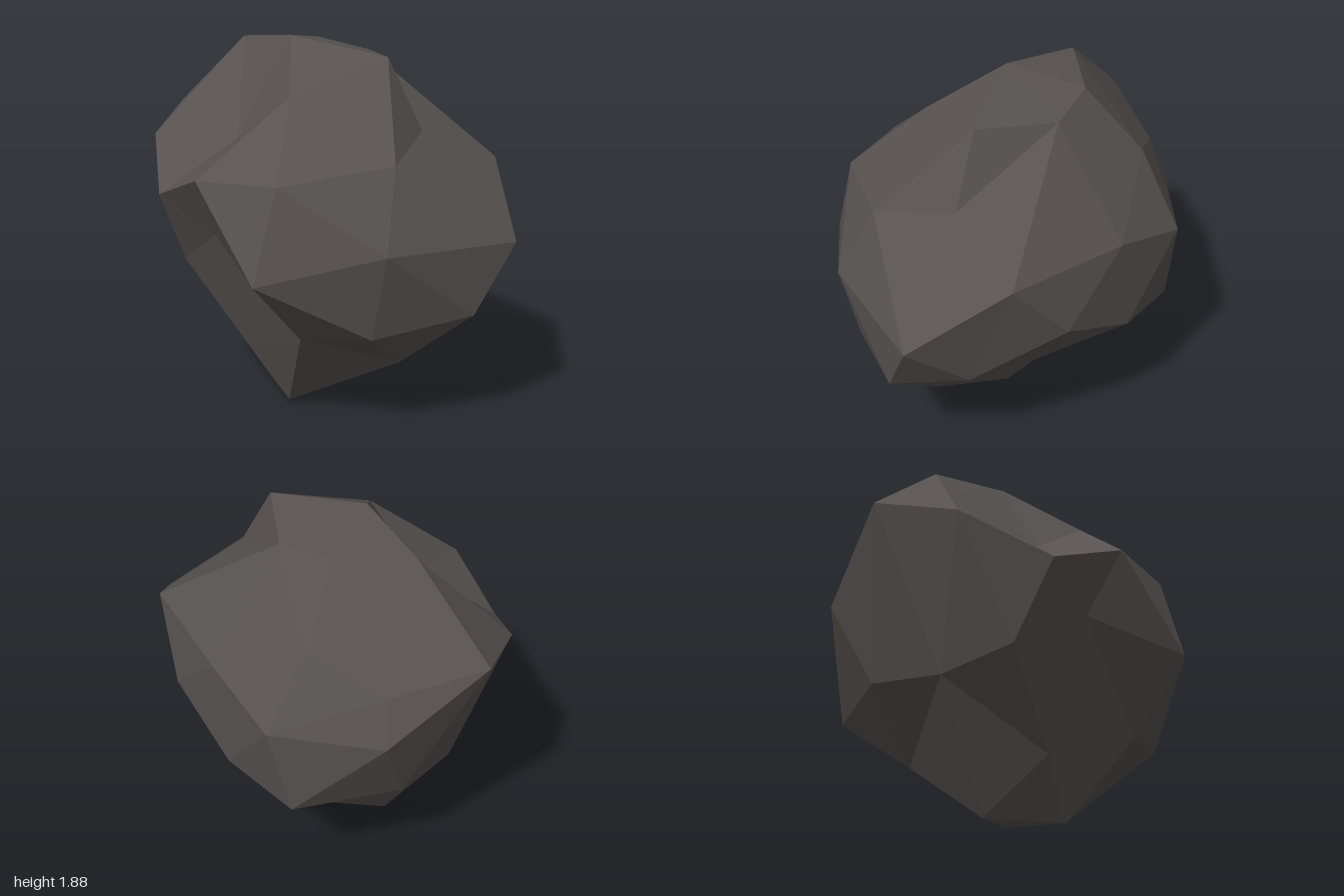
import * as THREE from 'three';
import { ConvexGeometry } from 'three/addons/geometries/ConvexGeometry.js';

const CENTRE = new THREE.Vector3(0, 0.94, 0);

// Corner points of the boulder, in bands from the crown to the foot.
const crown = [
  [-0.22, 1.88, 0.01], [0.30, 1.80, 0.04], [-0.57, 1.82, -0.25],
  [0.09, 1.77, -0.32], [-0.20, 1.81, -0.39], [-0.09, 1.65, 0.39],
];
const shoulder = [
  [0.49, 1.45, 0.08], [0.47, 1.37, 0.50], [-0.02, 1.30, 0.79], [-0.47, 1.27, 0.69],
  [-0.42, 1.39, 0.25], [-0.98, 1.32, 0.02], [-1.00, 1.42, -0.40], [-0.61, 1.32, -0.67],
  [-0.21, 1.49, -0.69], [0.28, 1.25, -0.69], [0.79, 1.26, -0.27],
];
const waist = [
  [1.00, 0.96, 0.20], [0.49, 0.98, 0.70], [-0.10, 0.84, 0.91], [-0.45, 0.95, 0.50],
  [-0.78, 1.11, 0.43], [-0.64, 1.09, -0.76], [-0.10, 1.12, -0.91], [0.59, 0.92, -0.50],
];
const flank = [
  [0.83, 0.61, 0.34], [0.40, 0.54, 0.64], [0.03, 0.49, 0.61], [-0.74, 0.71, 0.22],
  [-0.75, 0.59, -0.13], [-0.64, 0.64, -0.52], [-0.20, 0.64, -0.86], [0.20, 0.71, -0.73],
  [0.76, 0.66, -0.05],
];
const foot = [
  [0.43, 0.27, 0.22], [0.28, 0.44, -0.27], [-0.21, 0.36, -0.48], [0.10, 0.11, -0.08],
  [-0.37, 0.29, 0.28], [-0.14, 0.02, 0.30], [-0.38, 0.00, -0.04],
];

// Facet the points on a unit sphere, then push each corner out to its real place,
// so that dents stay concave.
function facetedRock(points) {
  const directions = points.map((p) => p.clone().sub(CENTRE).normalize());
  const geometry = new ConvexGeometry(directions);
  const position = geometry.attributes.position;
  const corner = new THREE.Vector3();
  for (let i = 0; i < position.count; i++) {
    corner.fromBufferAttribute(position, i);
    let nearest = 0;
    directions.forEach((d, k) => {
      if (d.distanceToSquared(corner) < directions[nearest].distanceToSquared(corner)) nearest = k;
    });
    position.setXYZ(i, ...points[nearest].toArray());
  }
  geometry.computeVertexNormals(); // unshared corners give flat facets
  return geometry;
}

export function createModel() {
  const group = new THREE.Group();
  group.name = 'rock';

  const stone = new THREE.MeshStandardMaterial({ color: 0x575250, flatShading: true });
  stone.name = 'dark stone';

  const points = [...crown, ...shoulder, ...waist, ...flank, ...foot]
    .map((p) => new THREE.Vector3(...p));
  const boulder = new THREE.Mesh(facetedRock(points), stone);
  boulder.name = 'boulder';
  group.add(boulder);
  return group;
}
